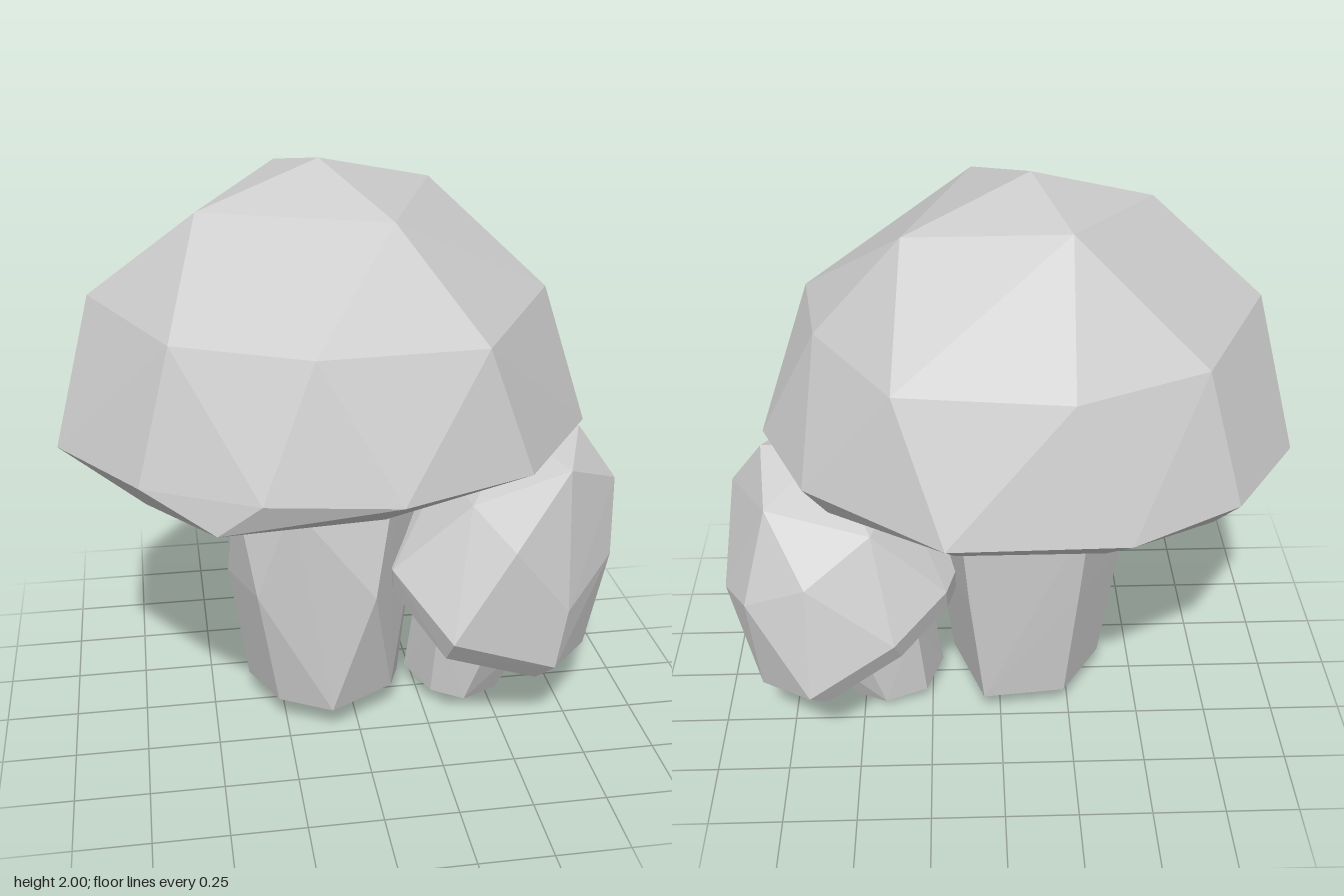
import * as THREE from 'three';
import { ConvexGeometry } from 'three/addons/geometries/ConvexGeometry.js';

const material = new THREE.MeshStandardMaterial({ color: 0xcccccc, flatShading: true });

// Level ring of [x, z] corners at height y; a corner may add a third value to shift its height
function ring(y, corners, scale = 1, cx = 0) {
  return corners.map(([x, z, dy = 0]) =>
    new THREE.Vector3(cx + (x - cx) * scale, y + dy, z * scale));
}

function facetedMesh(name, points) {
  const mesh = new THREE.Mesh(new ConvexGeometry(points), material);
  mesh.name = name;
  return mesh;
}

function largeMushroom() {
  const group = new THREE.Group();
  group.name = 'largeMushroom';

  // Stalk: foot, bulge and neck
  const foot = [[-0.28, 0.17], [-0.1, 0.27], [0.13, 0.14], [0.17, 0.04], [0.06, -0.27],
    [-0.23, -0.24], [-0.37, -0.02]];
  const middle = [[-0.35, 0.21], [0.05, 0.28], [0.22, 0.03], [0.11, -0.285],
    [-0.27, -0.27], [-0.435, -0.01]];
  const neck = [[-0.23, 0.25], [0.12, 0.2], [0.24, 0], [0.14, -0.3], [-0.3, -0.29],
    [-0.415, 0], [-0.41, 0.12]];
  group.add(facetedMesh('largeStalk', [
    ...ring(0.105, foot),
    ...ring(0.55, middle),
    ...ring(0.91, neck),
    ...ring(1.08, neck, 0.72, -0.1),
  ]));

  // Cap: apex, crown, shoulder, rim and tucked-in underside
  const crown = [[0.3, -0.22], [0.08, 0.37], [-0.5, 0.12, -0.01], [-0.21, -0.33, 0.05]];
  const shoulder = [
    [0.63, 0.11, 0.01], [0.33, 0.59, -0.02], [-0.2, 0.67], [-0.61, 0.48], [-0.85, -0.02, 0.01],
    [-0.61, -0.51], [-0.2, -0.7], [0.33, -0.6, -0.02], [0.58, -0.23],
  ];
  const rim = [
    [0.78, -0.14, 0.02], [0.75, 0.23], [0.47, 0.63], [0.04, 0.8], [-0.37, 0.77, 0.02],
    [-0.72, 0.57, 0.01], [-0.97, 0.2], [-0.94, -0.27], [-0.72, -0.6], [-0.37, -0.8],
    [0.18, -0.81], [0.62, -0.5, 0.02],
  ];
  const underside = [
    [0.7, -0.1], [0.62, 0.25, 0.015], [0.38, 0.53, 0.02], [0, 0.7, 0.01], [-0.5, 0.72],
    [-0.7, 0.5, 0.015], [-0.88, 0.1, 0.01], [-0.85, -0.25, 0.01], [-0.65, -0.55],
    [-0.3, -0.73, 0.02], [0.15, -0.73, 0.02], [0.55, -0.46],
  ];
  group.add(facetedMesh('largeCap', [
    new THREE.Vector3(-0.1, 2, 0),
    ...ring(1.88, crown),
    ...ring(1.57, shoulder),
    ...ring(1.15, rim),
    ...ring(1.06, underside),
  ]));
  return group;
}

function smallMushroom() {
  const group = new THREE.Group();
  group.name = 'smallMushroom';

  // Smaller cap, leaning outwards
  const crown = [[-0.2, 0], [-0.05, 0.25, 0.01], [0.2, 0.07], [0.03, -0.25]];
  const shoulder = [[-0.17, 0.44, -0.03], [0.13, 0.4, -0.17], [0.29, 0.16], [0.34, -0.19],
    [0.24, -0.36], [0, -0.43], [-0.24, -0.28], [-0.345, -0.05], [-0.3, 0.24]];
  const rim = [[-0.24, 0.52, -0.04], [0.18, 0.43, -0.03], [0.36, 0.2], [0.425, -0.1],
    [0.38, -0.33], [0.17, -0.53], [-0.15, -0.44], [-0.35, -0.26], [-0.425, -0.05],
    [-0.427, 0.2]];
  const cap = facetedMesh('smallCap', [
    new THREE.Vector3(0.01, 0.73, 0),
    ...ring(0.625, crown),
    ...ring(0.385, shoulder),
    ...ring(0.045, rim),
    ...ring(-0.035, rim, 0.89),
  ]);
  cap.position.set(0.48, 0.38, 0);
  cap.rotation.z = -0.467;

  // Short stalk that widens and leans towards the cap
  const stalk = [
    [0.21, 0.08, -0.02], [0.28, 0.06, 0.13], [0.4, 0.03, 0.16], [0.54, 0, 0.06],
    [0.53, 0, -0.12], [0.42, 0.03, -0.2], [0.27, 0.06, -0.17],
    [0.25, 0.38, -0.02], [0.3, 0.38, 0.16], [0.49, 0.29, 0.19], [0.65, 0.19, 0.07],
    [0.65, 0.19, -0.13], [0.5, 0.29, -0.22], [0.3, 0.38, -0.19],
    [0.38, 0.52, 0.08], [0.38, 0.52, -0.1], [0.6, 0.42, 0.06], [0.6, 0.42, -0.1],
  ].map((p) => new THREE.Vector3(...p));
  group.add(cap, facetedMesh('smallStalk', stalk));
  return group;
}

export function createModel() {
  const model = new THREE.Group();
  model.name = 'mushrooms';
  model.add(largeMushroom(), smallMushroom());
  return model;
}
